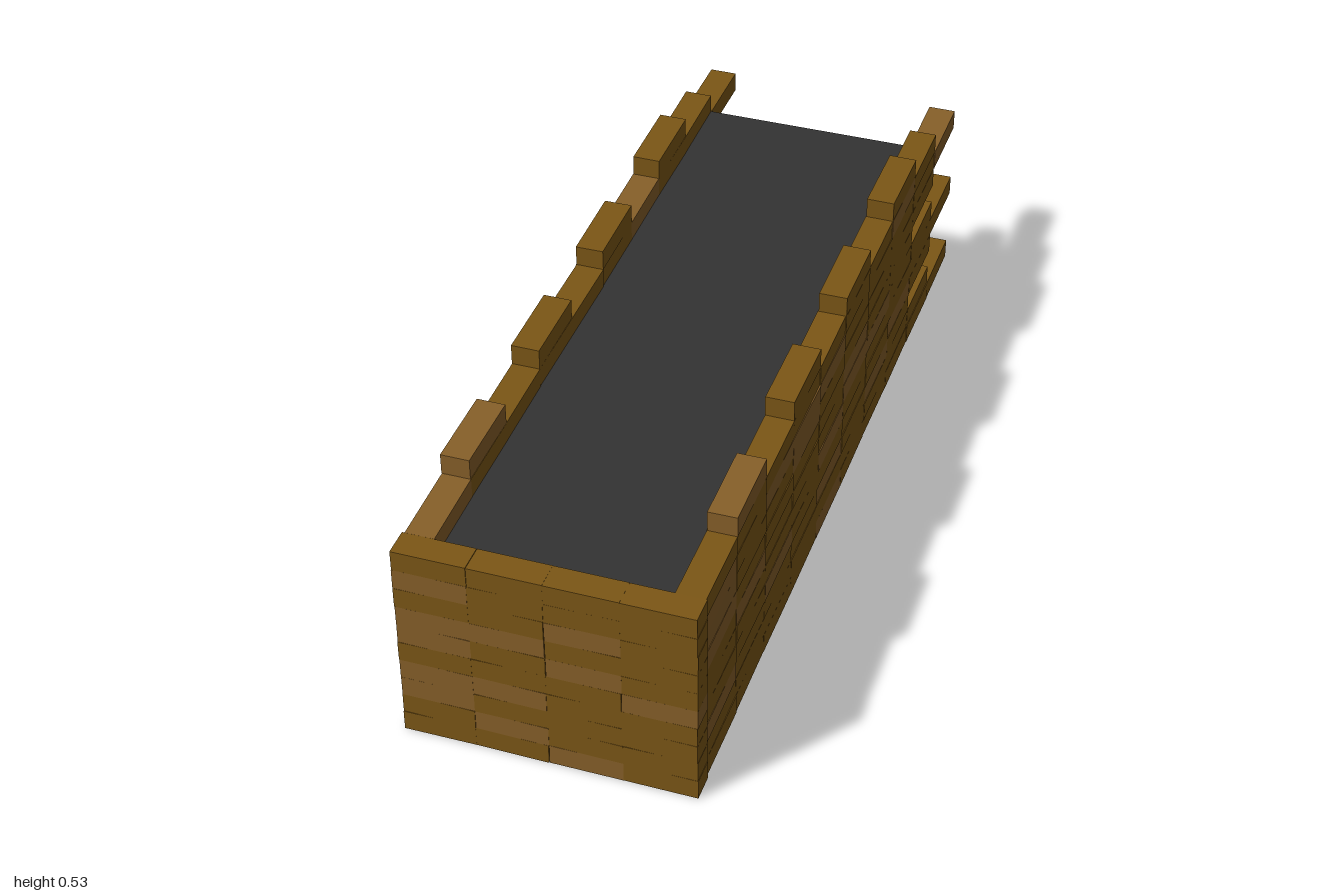
import * as THREE from 'three';

const ROW = 0.048, ROWS = 10, LEN = 0.194, THICK = 0.0635, FRONT = 0.938;

export function createModel() {
  const model = new THREE.Group();
  const darkWood = new THREE.MeshStandardMaterial({ color: 0x7c5716, flatShading: true });
  const lightWood = new THREE.MeshStandardMaterial({ color: 0x876029, flatShading: true });
  const roofing = new THREE.MeshStandardMaterial({ color: 0x333333, side: THREE.DoubleSide });

  // small seeded generator for the uneven laying of the blocks
  let seed = 7;
  const jitter = (a) => {
    seed = (seed * 16807) % 2147483647;
    return (seed / 2147483647 * 2 - 1) * a;
  };

  const sideGeo = new THREE.BoxGeometry(THICK, ROW, LEN);
  const frontGeo = new THREE.BoxGeometry(0.159, ROW, 0.062);

  function addBlock(parent, name, geo, x, y, z) {
    const block = new THREE.Mesh(geo, jitter(1) > 0.6 ? lightWood : darkWood);
    block.name = name;
    block.position.set(x + jitter(0.001), y, z);
    block.rotation.set(jitter(0.001), jitter(0.007), jitter(0.008));
    parent.add(block);
  }

  // side walls: stepped, toothed ends at the back and raised blocks on top
  const blocksPerRow = [10, 9, 8, 9];
  for (const side of [1, -1]) {
    const wall = new THREE.Group();
    wall.name = side > 0 ? 'leftWall' : 'rightWall';
    const x = side * 0.2825;
    const zAt = (i) => FRONT - LEN * (i + 0.5);
    for (let r = 0; r < ROWS; r++) {
      for (let i = 0; i < blocksPerRow[r % 4]; i++) {
        addBlock(wall, 'wallBlock', sideGeo, x, (r + 0.5) * ROW, zAt(i));
      }
    }
    for (let i = 1; i < 8; i += 2) {
      addBlock(wall, 'battlement', sideGeo, x, (ROWS + 0.5) * ROW, zAt(i));
    }
    model.add(wall);
  }

  // front wall: four blocks to a row
  const frontWall = new THREE.Group();
  frontWall.name = 'frontWall';
  for (let r = 0; r < ROWS; r++) {
    for (let i = 0; i < 4; i++) {
      addBlock(frontWall, 'frontBlock', frontGeo, -0.239 + i * 0.159, (r + 0.5) * ROW, 0.969);
    }
  }
  model.add(frontWall);

  // thin roof sheet, one row below the wall tops
  const roof = new THREE.Mesh(new THREE.PlaneGeometry(0.505, 1.75), roofing);
  roof.name = 'roof';
  roof.rotation.x = -Math.PI / 2;
  roof.position.set(0, 0.434, 0.065);
  model.add(roof);

  return model;
}
